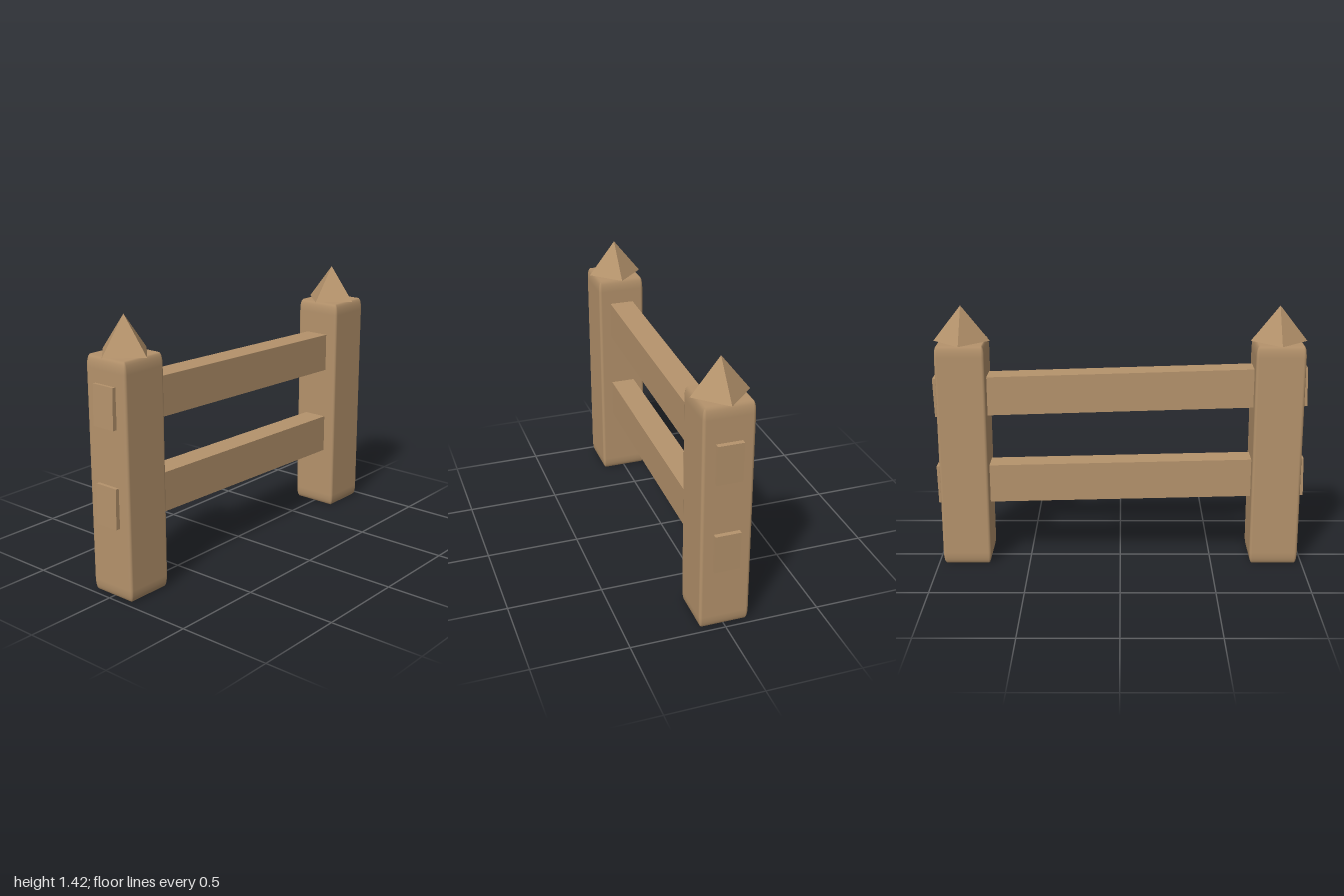
import * as THREE from 'three';
import { RoundedBoxGeometry } from 'three/addons/geometries/RoundedBoxGeometry.js';

const wood = new THREE.MeshStandardMaterial({ color: 0xb5936c });
wood.name = 'wood';

const POST_X = 0.843, POST_HEIGHT = 1.23, POST_WIDTH = 0.264;

function addMesh(parent, name, geometry, x, y, z) {
  const mesh = new THREE.Mesh(geometry, wood);
  mesh.name = name;
  mesh.position.set(x, y, z);
  parent.add(mesh);
  return mesh;
}

export function createModel() {
  const fence = new THREE.Group();
  fence.name = 'fence';

  // Square posts with softened edges, drawn out taller at the ends
  const stretch = 4;
  const postGeometry = new RoundedBoxGeometry(POST_WIDTH, POST_HEIGHT / stretch, POST_WIDTH, 2, 0.016);
  postGeometry.scale(1, stretch, 1);

  // Pyramid caps, turned so their corners overhang the post sides
  const capGeometry = new THREE.ConeGeometry(0.15, 0.19, 4).toNonIndexed();
  capGeometry.computeVertexNormals();

  for (const [side, sign] of [['left', 1], ['right', -1]]) {
    const post = new THREE.Group();
    post.name = side + 'Post';
    post.position.x = sign * POST_X;
    addMesh(post, side + 'PostShaft', postGeometry, 0, POST_HEIGHT / 2, 0);
    addMesh(post, side + 'PostCap', capGeometry, 0, POST_HEIGHT + 0.095, 0);
    fence.add(post);
  }

  // Slightly sloping rails that pass through both posts
  const railGeometry = new THREE.BoxGeometry(1.994, 0.21, 0.134);
  addMesh(fence, 'upperRail', railGeometry, 0, 0.963, 0).rotation.z = -0.031;
  addMesh(fence, 'lowerRail', railGeometry, 0, 0.464, 0).rotation.z = -0.024;

  return fence;
}
